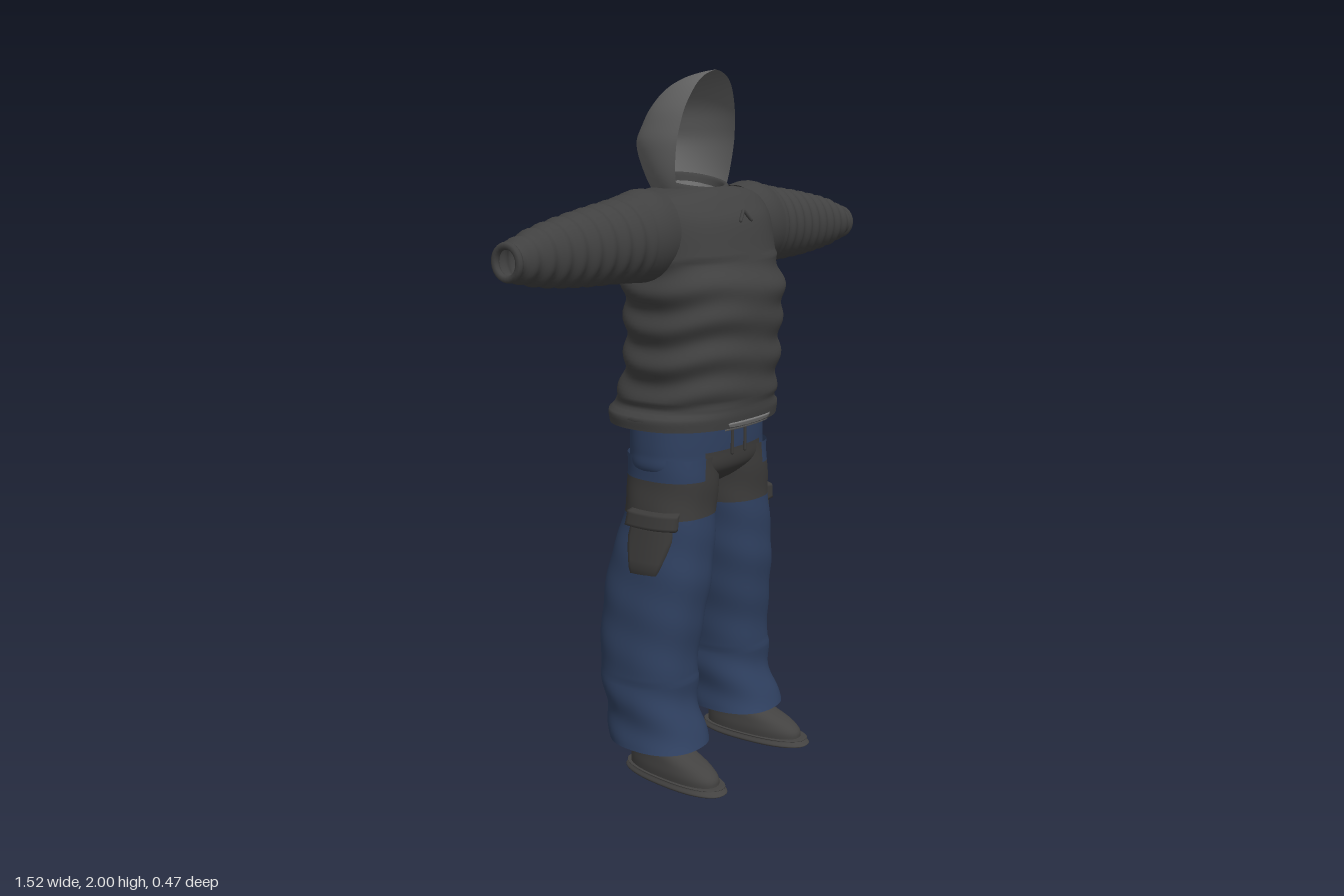
import * as THREE from 'three';

const mat = (name, color) => {
  const m = new THREE.MeshStandardMaterial({ color, side: THREE.DoubleSide });
  m.name = name;
  return m;
};

// Smooth interpolation of profile rows [y, ...values] at height y
function sample(keys, y) {
  let i = 0;
  while (i < keys.length - 2 && y > keys[i + 1][0]) i++;
  const a = keys[i], b = keys[i + 1], p = keys[i - 1] || a, n = keys[i + 2] || b;
  const h = b[0] - a[0], t = Math.min(1, Math.max(0, (y - a[0]) / h));
  return a.slice(1).map((v, k) => {
    const j = k + 1, w = b[j];
    const m0 = (w - p[j]) / (b[0] - p[0]) * h, m1 = (n[j] - v) / (n[0] - a[0]) * h;
    const t2 = t * t, t3 = t2 * t;
    return (2 * t3 - 3 * t2 + 1) * v + (t3 - 2 * t2 + t) * m0 + (3 * t2 - 2 * t3) * w + (t3 - t2) * m1;
  });
}

// Grid surface; pick gives a material index per face, or -1 for a hole
function surface(name, fn, nu, nv, closed, mats, pick = () => 0) {
  const pos = [], cols = closed ? nu : nu + 1, sets = mats.map(() => []);
  for (let j = 0; j <= nv; j++)
    for (let i = 0; i < cols; i++) pos.push(...fn(i / nu, j / nv));
  for (let j = 0; j < nv; j++)
    for (let i = 0; i < nu; i++) {
      const k = (i + 1) % cols;
      const a = j * cols + i, b = j * cols + k, c = b + cols, d = a + cols;
      const mid = [0, 1, 2].map(q => (pos[a * 3 + q] + pos[c * 3 + q]) / 2);
      const s = pick(...mid);
      if (s >= 0) sets[s].push(a, b, c, a, c, d);
    }
  const g = new THREE.BufferGeometry();
  g.setAttribute('position', new THREE.Float32BufferAttribute(pos, 3));
  g.setIndex(sets.flat());
  let start = 0;
  sets.forEach((s, i) => { g.addGroup(start, s.length, i); start += s.length; });
  g.computeVertexNormals();
  const mesh = new THREE.Mesh(g, mats.length > 1 ? mats : mats[0]);
  mesh.name = name;
  return mesh;
}

// Point on an upright body with rows [y, centreX, radiusX, frontZ, backZ]
function bodyPoint(keys, y, a, side = 1, off = 0, pow = 0.85) {
  const [cx, rx, zf, zb] = sample(keys, y);
  const s = Math.sin(a), c = Math.cos(a), e = v => Math.sign(v) * Math.abs(v) ** pow;
  return [side * cx + (rx + off) * e(s), y, (zf + zb) / 2 + ((zf - zb) / 2 + off) * e(c)];
}

function body(name, keys, mats, { side = 1, ripple = () => 0, pick, nu = 48, nv = 48, pow } = {}) {
  const lo = keys[0][0], hi = keys[keys.length - 1][0];
  return surface(name, (u, v) => {
    const y = lo + (hi - lo) * v, a = u * Math.PI * 2;
    return bodyPoint(keys, y, a, side, ripple(y, a), pow);
  }, nu, nv, true, mats, pick);
}

// Raised patch following a body, with edges tucked in
function patch(name, keys, m, { side = 1, angle, half, y0, y1, off, sag = 0 }) {
  return surface(name, (u, v) => {
    const edge = u === 0 || u === 1 || v === 0 || v === 1;
    const t = u * 2 - 1, y = y0 + (y1 - y0) * v;
    return bodyPoint(keys, y - sag * t * t, angle + t * half(v), side, edge ? -0.002 : off);
  }, 16, 8, false, [m]);
}

export function createModel() {
  const root = new THREE.Group();
  root.name = 'hoodedOutfit';
  const knit = mat('charcoal knit', 0x414141), hoodGrey = mat('hood grey', 0x646464);
  const denim = mat('navy cloth', 0x2f4060), panel = mat('dark panel', 0x3c3b3a);
  const leather = mat('boot leather', 0x434241), lining = mat('grey lining', 0x7a7a7a);
  const add = (...m) => root.add(...m);

  // Sweater body, with holes where the sleeves join
  const torso = [
    [1.035, 0, 0.262, 0.195, -0.21], [1.07, 0, 0.262, 0.2, -0.215], [1.085, 0, 0.24, 0.2, -0.205],
    [1.2, 0, 0.24, 0.21, -0.165], [1.3, 0, 0.24, 0.215, -0.16], [1.4, 0, 0.245, 0.225, -0.165],
    [1.5, 0, 0.25, 0.19, -0.18], [1.6, 0, 0.25, 0.165, -0.175], [1.645, 0, 0.235, 0.135, -0.15],
    [1.672, 0, 0.19, 0.11, -0.13], [1.685, 0, 0.11, 0.085, -0.105]];
  const fold = (y, a) => y < 1.1 || y > 1.5 ? 0
    : 0.008 * Math.sin((y - 1.1) * Math.PI * 20 + Math.sin(a * 3)) * (0.45 + 0.55 * Math.abs(Math.sin(a)));
  add(body('sweaterBody', torso, [knit], {
    ripple: fold, nv: 72, nu: 64,
    pick: (x, y, z) => Math.abs(x) > 0.2 && Math.hypot(y - 1.56, z) < 0.085 ? -1 : 0 }));
  add(body('sweaterLining', [[1.036, 0, 0.25, 0.183, -0.198], [1.12, 0, 0.225, 0.185, -0.18]], [lining], { nv: 2 }));
  add(patch('frontHemTag', [[1.02, 0, 0.24, 0.185, -0.18], [1.06, 0, 0.255, 0.202, -0.2]], lining,
    { angle: 0, half: () => 0.36, y0: 1.027, y1: 1.052, off: 0.003 }));
  // Hem roll
  const hem = new THREE.Mesh(new THREE.TorusGeometry(1, 0.035, 6, 48), knit);
  hem.name = 'hemRoll';
  hem.rotation.x = Math.PI / 2;
  hem.scale.set(0.257, 0.2, 0.3);
  hem.position.set(0, 1.062, -0.008);
  add(hem);
  // Upper back stripes
  for (const [y0, y1] of [[1.585, 1.603], [1.628, 1.648]])
    add(patch('backStripe', torso, lining, { angle: Math.PI, half: () => 0.48, y0, y1, off: 0.004, sag: 0.008 }));

  // Sleeves and cuffs
  const sleeve = [
    [0.18, 1.565, 0.115, 0.11], [0.25, 1.565, 0.125, 0.113], [0.32, 1.56, 0.112, 0.102],
    [0.5, 1.55, 0.095, 0.08], [0.65, 1.543, 0.073, 0.062], [0.75, 1.538, 0.045, 0.045]];
  for (const s of [1, -1]) {
    add(surface('sleeve', (u, v) => {
      const x = 0.18 + 0.57 * v, a = u * Math.PI * 2, [cy, ry, rz] = sample(sleeve, x);
      const w = x < 0.3 ? 0 : 0.004 * Math.sin(x * 125 + Math.sin(a) * 1.5);
      return [s * x, cy + (ry + w) * Math.cos(a), (rz + w) * Math.sin(a)];
    }, 32, 72, true, [knit]));
    const cuff = new THREE.Mesh(new THREE.TorusGeometry(0.041, 0.01, 8, 24), knit);
    cuff.name = 'cuff';
    cuff.rotation.y = Math.PI / 2;
    cuff.position.set(s * 0.749, 1.538, 0);
    add(cuff);
  }

  // Hood shell, open at the front, with the rim turned inward
  const hood = [
    [1.62, 0.085, 0.03, -0.09], [1.66, 0.108, 0.022, -0.115], [1.72, 0.128, 0.025, -0.15],
    [1.8, 0.136, 0.035, -0.18], [1.85, 0.13, 0.042, -0.16], [1.9, 0.117, 0.05, -0.13],
    [1.95, 0.09, 0.06, -0.08], [1.98, 0.06, 0.066, -0.02], [1.995, 0.025, 0.069, 0.035], [2, 0, 0.07, 0.065]];
  add(surface('hood', (u, v) => {
    const y = 1.62 + 0.38 * (1 - (1 - v) ** 2), [w, f, b] = sample(hood, y);
    const c = (f + 0.26 * b) / 1.26, a = (u * 2 - 1) * 1.83 + Math.PI;
    return [w * Math.sin(a), y, c + (c - b) * Math.cos(a)];
  }, 40, 32, false, [hoodGrey]));
  // Collar, lower and fuller at the front
  const collar = [[0, 0.125, 0.1, 1.64], [0.35, 0.122, 0.1, 1.668], [0.75, 0.112, 0.09, 1.7], [1, 0.1, 0.078, 1.702], [1.3, 0.092, 0.07, 1.68]];
  add(surface('collar', (u, v) => {
    const a = u * Math.PI * 2, [rx, rz, y] = sample(collar, v * 1.3), c = Math.cos(a);
    return [rx * Math.sin(a), y - 0.018 * c, -0.01 + rz * c];
  }, 40, 16, true, [knit]));
  add(surface('collarLining', (u, v) => {
    const a = u * Math.PI * 2, c = Math.cos(a);
    return [0.09 * Math.sin(a), 1.6 + 0.08 * v - 0.018 * c, -0.01 + 0.068 * c];
  }, 32, 1, true, [lining]));
  for (const s of [1, -1]) {
    const tie = new THREE.Mesh(new THREE.CapsuleGeometry(0.005, 0.035, 3, 6), knit);
    tie.name = 'collarTie';
    tie.position.set(s * 0.013, 1.612, 0.168);
    tie.rotation.set(-0.3, 0, s * 0.7);
    add(tie);
  }

  // Trousers: hips with a contrasting seat panel
  const seat = (x, y) => y > 0.785 && (y < 0.885 || (Math.abs(x) < 0.13 && y < 0.965)) ? 1 : 0;
  add(body('hips', [
    [0.845, 0, 0.07, 0.06, -0.05], [0.875, 0, 0.17, 0.11, -0.1], [0.91, 0, 0.228, 0.142, -0.128],
    [0.96, 0, 0.232, 0.148, -0.138], [1.07, 0, 0.225, 0.15, -0.14]], [denim, panel], { pick: seat, nv: 40, nu: 72 }));
  const leg = [
    [0.11, 0.185, 0.12, 0.155, -0.14], [0.2, 0.18, 0.118, 0.115, -0.155], [0.3, 0.177, 0.12, 0.105, -0.175],
    [0.4, 0.17, 0.12, 0.11, -0.185], [0.6, 0.148, 0.124, 0.135, -0.172], [0.8, 0.126, 0.117, 0.135, -0.12],
    [0.95, 0.113, 0.113, 0.14, -0.125]];
  const crease = (y, a) => 0.004 * Math.sin(y * 45 + a * 2) * (y < 0.3 ? 1 : 0.4);
  const boot = [
    [0.02, 0, 0.059, 0.232, -0.088], [0.045, 0, 0.06, 0.228, -0.087], [0.07, 0, 0.057, 0.195, -0.085],
    [0.09, 0, 0.055, 0.145, -0.083], [0.11, 0, 0.053, 0.1, -0.08], [0.2, 0, 0.05, 0.07, -0.075]];
  const sole = [
    [0, 0, 0.01, 0.05, 0.03], [0.001, 0, 0.06, 0.23, -0.088], [0.022, 0, 0.063, 0.243, -0.093],
    [0.026, 0, 0.06, 0.236, -0.09], [0.027, 0, 0.02, 0.1, 0]];
  for (const s of [1, -1]) {
    add(body('trouserLeg', leg, [denim, panel], { side: s, ripple: crease, pick: seat, nv: 80 }));
    add(body('trouserLining', [[0.112, 0.185, 0.11, 0.143, -0.128], [0.25, 0.178, 0.105, 0.095, -0.145]], [lining], { side: s, nv: 4 }));
    // Cargo pocket and flap
    const angle = s * Math.PI / 2;
    add(patch('cargoPocket', leg, panel, { side: s, angle: angle - s * 0.2, half: v => 0.25 + 0.25 * Math.min(1, v * 1.6), y0: 0.62, y1: 0.79, off: 0.008 }));
    add(patch('pocketFlap', leg, panel, { side: s, angle: angle - s * 0.2, half: () => 0.62, y0: 0.75, y1: 0.806, off: 0.016 }));
    // Waist cord
    const cord = new THREE.Mesh(new THREE.CapsuleGeometry(0.005, 0.08, 3, 6), panel);
    cord.name = 'waistCord';
    cord.position.set(s * 0.03, 0.99, 0.151);
    add(cord);
    // Boot
    const foot = new THREE.Group();
    foot.name = 'boot';
    foot.add(body('bootUpper', boot, [leather], { nv: 28, nu: 36 }));
    foot.add(body('bootSole', sole, [leather], { nv: 27, nu: 36 }));
    foot.position.x = s * 0.192;
    foot.rotation.y = s * 0.08;
    add(foot);
  }
  return root;
}
